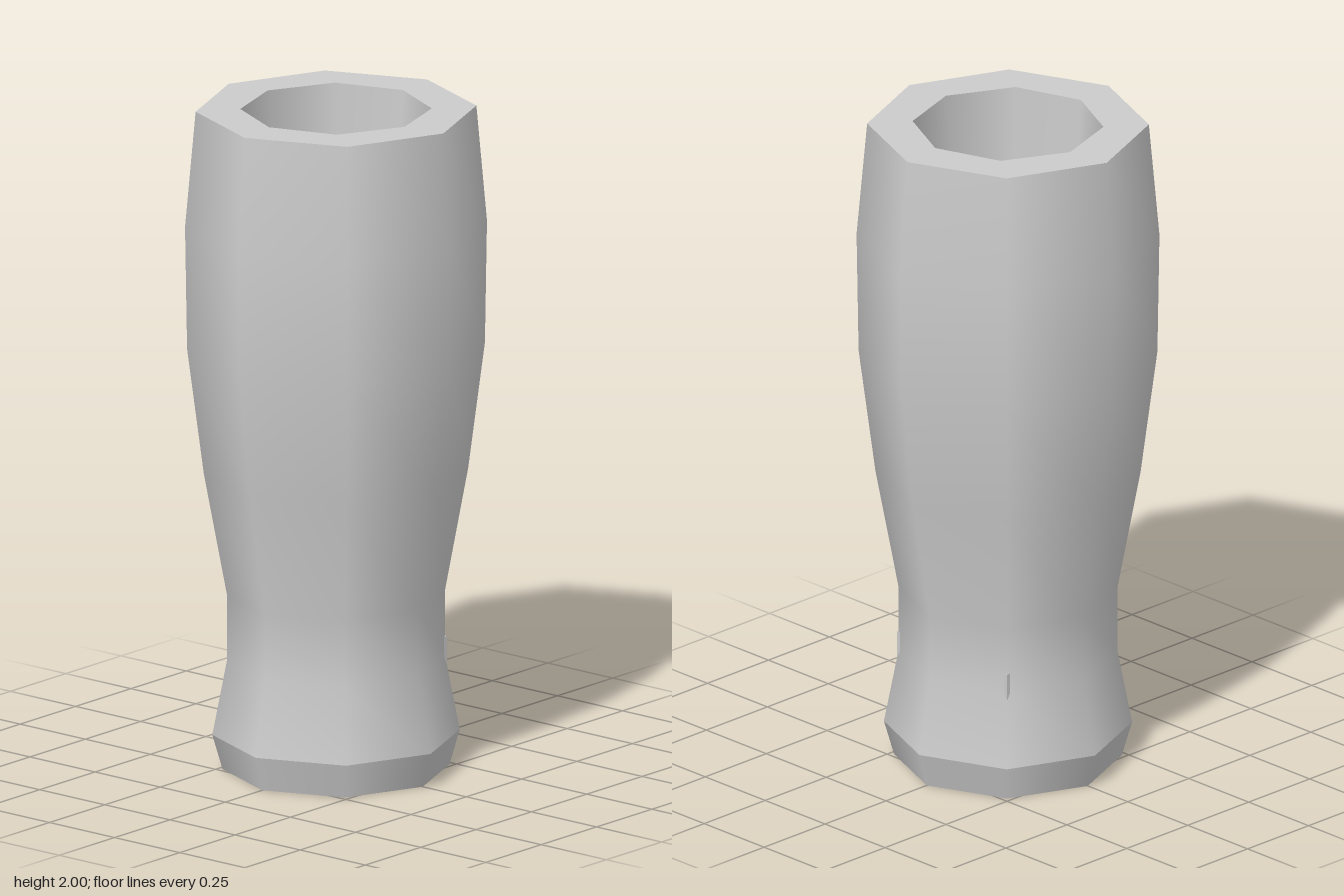
import * as THREE from 'three';

const SIDES = 8;
const deg = Math.PI / 180;

// Eight-sided turned surface; profile is a list of [radius, height]
function turned(profile) {
  return new THREE.LatheGeometry(profile.map(([r, y]) => new THREE.Vector2(r, y)), SIDES);
}

// Corner points of an octagon in plan, turned by an angle
function octagon(radius, turn) {
  return Array.from({ length: SIDES }, (_, i) => {
    const a = turn + (i / SIDES) * Math.PI * 2;
    return new THREE.Vector2(radius * Math.cos(a), radius * Math.sin(a));
  });
}

export function createModel() {
  const group = new THREE.Group();
  const grey = new THREE.MeshStandardMaterial({ color: 0xcccccc });
  grey.name = 'plain grey';

  const add = (name, geometry) => {
    const mesh = new THREE.Mesh(geometry, grey);
    mesh.name = name;
    group.add(mesh);
    return mesh;
  };

  // Smooth outer wall with a pinched waist
  add('outerWall', turned([
    [0.363, 0.105], [0.32, 0.33], [0.32, 0.53], [0.388, 0.9],
    [0.437, 1.28], [0.443, 1.65], [0.412, 2],
  ]));

  // Chamfered foot and flat underside
  add('footBevel', turned([[0.333, 0], [0.363, 0.105]]));
  add('underside', turned([[0, 0], [0.333, 0]]));

  // Flat rim with a slightly turned opening
  const rimShape = new THREE.Shape(octagon(0.412, 0));
  rimShape.holes.push(new THREE.Path(octagon(0.28, -4 * deg)));
  const rim = new THREE.ShapeGeometry(rimShape);
  rim.rotateX(-Math.PI / 2).translate(0, 2, 0);
  add('rim', rim);

  // Bore narrows to a neck, then opens into the hollow foot
  const bore = turned([
    [0.28, 2], [0.19, 0.56], [0.18, 0.48], [0.28, 0.34], [0.3, 0.12], [0.3, 0.03],
  ]);
  const p = bore.attributes.position;
  for (let i = 0; i < p.count; i++) {
    const twist = 4 * deg * Math.max(0, (p.getY(i) - 0.56) / 1.44);
    const v = new THREE.Vector3().fromBufferAttribute(p, i)
      .applyAxisAngle(new THREE.Vector3(0, 1, 0), -twist);
    p.setXYZ(i, v.x, v.y, v.z);
  }
  add('bore', bore);
  add('boreFloor', turned([[0.3, 0.03], [0, 0.03]]));

  // Small nubs on two corners of the waist
  for (const side of [1, -1]) {
    const nub = add('waistNub', new THREE.BoxGeometry(0.05, 0.08, 0.05));
    nub.position.set(0.205, 0.35, side * 0.205);
  }

  return group;
}
